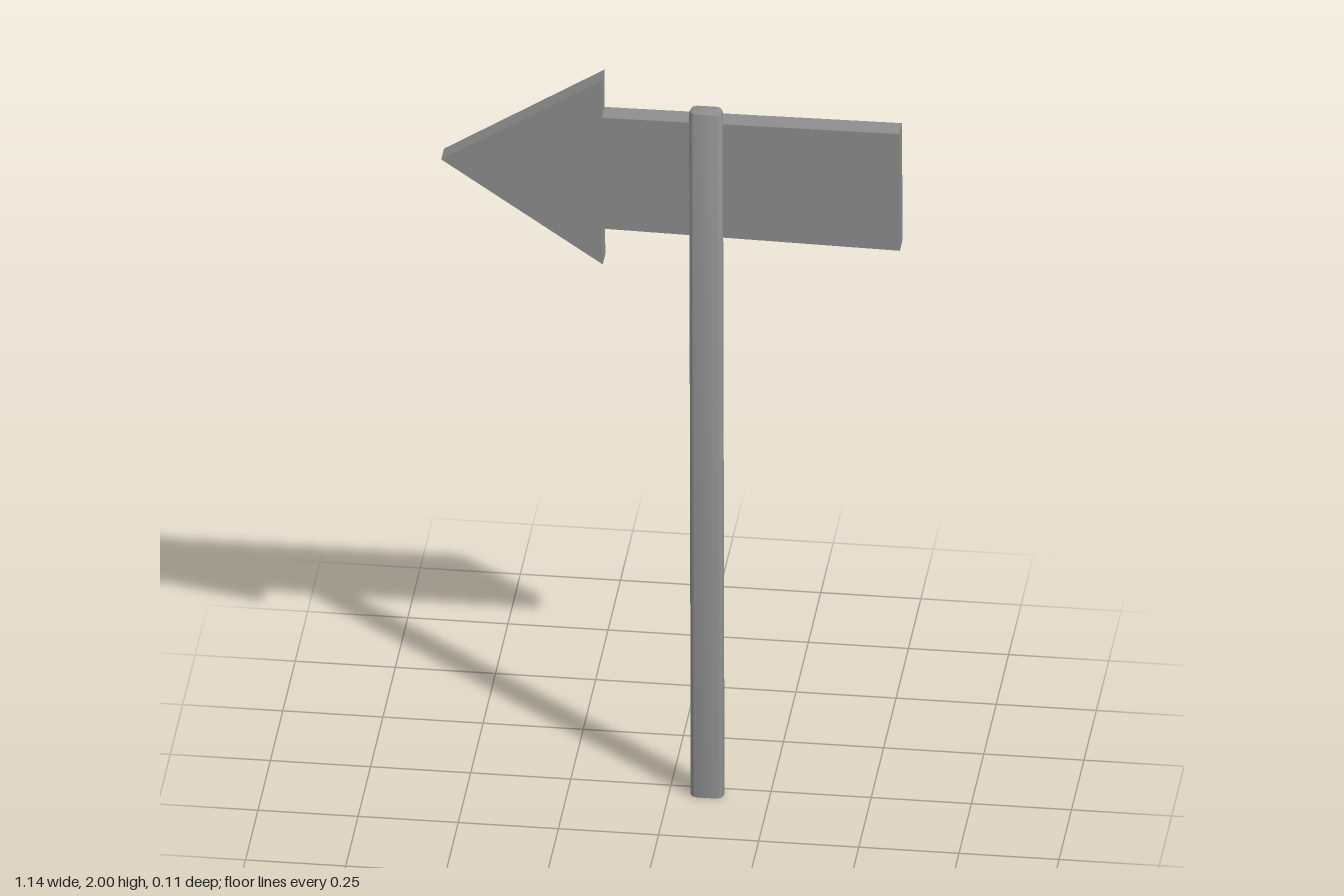
import * as THREE from 'three';
import { toCreasedNormals } from 'three/addons/utils/BufferGeometryUtils.js';

const material = new THREE.MeshStandardMaterial({ color: 0x8d8d8d });
const openMaterial = new THREE.MeshStandardMaterial({ color: 0x8d8d8d, side: THREE.DoubleSide });

function addMesh(parent, name, geometry, mat, x, y, z) {
  const mesh = new THREE.Mesh(geometry, mat);
  mesh.name = name;
  mesh.position.set(x, y, z);
  parent.add(mesh);
  return mesh;
}

function roundedRect(w, h, r) {
  const s = new THREE.Shape();
  const x = w / 2 - r, y = h / 2 - r;
  [[x, y], [-x, y], [-x, -y], [x, -y]].forEach(([cx, cy], i) =>
    s.absarc(cx, cy, r, i * Math.PI / 2, (i + 1) * Math.PI / 2));
  return s;
}

// Upright with rounded corners, softened top and open foot
function postGeometry(width, depth, height) {
  const sections = [[0, 0], [height - 0.01, 0], [height - 0.003, 0.003], [height, 0.01]];
  const positions = [], index = [];
  let n = 0;
  for (const [y, inset] of sections) {
    const ring = roundedRect(width - 2 * inset, depth - 2 * inset, 0.02 - inset).getPoints(4);
    n = ring.length - 1; // last point repeats the first
    if (!ring[0].equals(ring[n]) && ring[0].distanceTo(ring[n]) > 1e-6) n = ring.length;
    for (let i = 0; i < n; i++) positions.push(ring[i].x, y, -ring[i].y);
  }
  positions.push(0, height, 0);
  const top = (sections.length - 1) * n;
  for (let i = 0; i < n; i++) {
    const j = (i + 1) % n;
    for (let k = 0; k < top; k += n) index.push(k + i, k + j, k + n + j, k + i, k + n + j, k + n + i);
    index.push(top + i, top + j, top + n);
  }
  const geo = new THREE.BufferGeometry();
  geo.setAttribute('position', new THREE.Float32BufferAttribute(positions, 3));
  geo.setIndex(index);
  return toCreasedNormals(geo, 0.7);
}

export function createModel() {
  const group = new THREE.Group();
  group.name = 'arrowSign';

  // Post leans very slightly
  const post = addMesh(group, 'post', postGeometry(0.083, 0.05, 1.95), openMaterial, 0.095, 0, 0.028);
  post.rotation.z = 0.002;

  // Arrow board, slightly uneven as if hand cut
  const outline = [
    [-0.573, 1.746], [-0.17, 1.475], [-0.172, 1.577], [0.572, 1.566],
    [0.57, 1.899], [-0.172, 1.893], [-0.172, 2],
  ].map(([x, y]) => new THREE.Vector2(x, y));
  const board = new THREE.ExtrudeGeometry(new THREE.Shape(outline), { depth: 0.055, bevelEnabled: false });
  addMesh(group, 'arrowBoard', board, material, 0, 0, -0.053);

  // Nail heads on the back of the board
  for (const y of [1.86, 1.61]) {
    const nail = addMesh(group, 'nailHead', new THREE.CylinderGeometry(0.014, 0.011, 0.006, 12), material, 0.086, y, -0.0525);
    nail.rotation.x = -Math.PI / 2;
  }
  return group;
}
